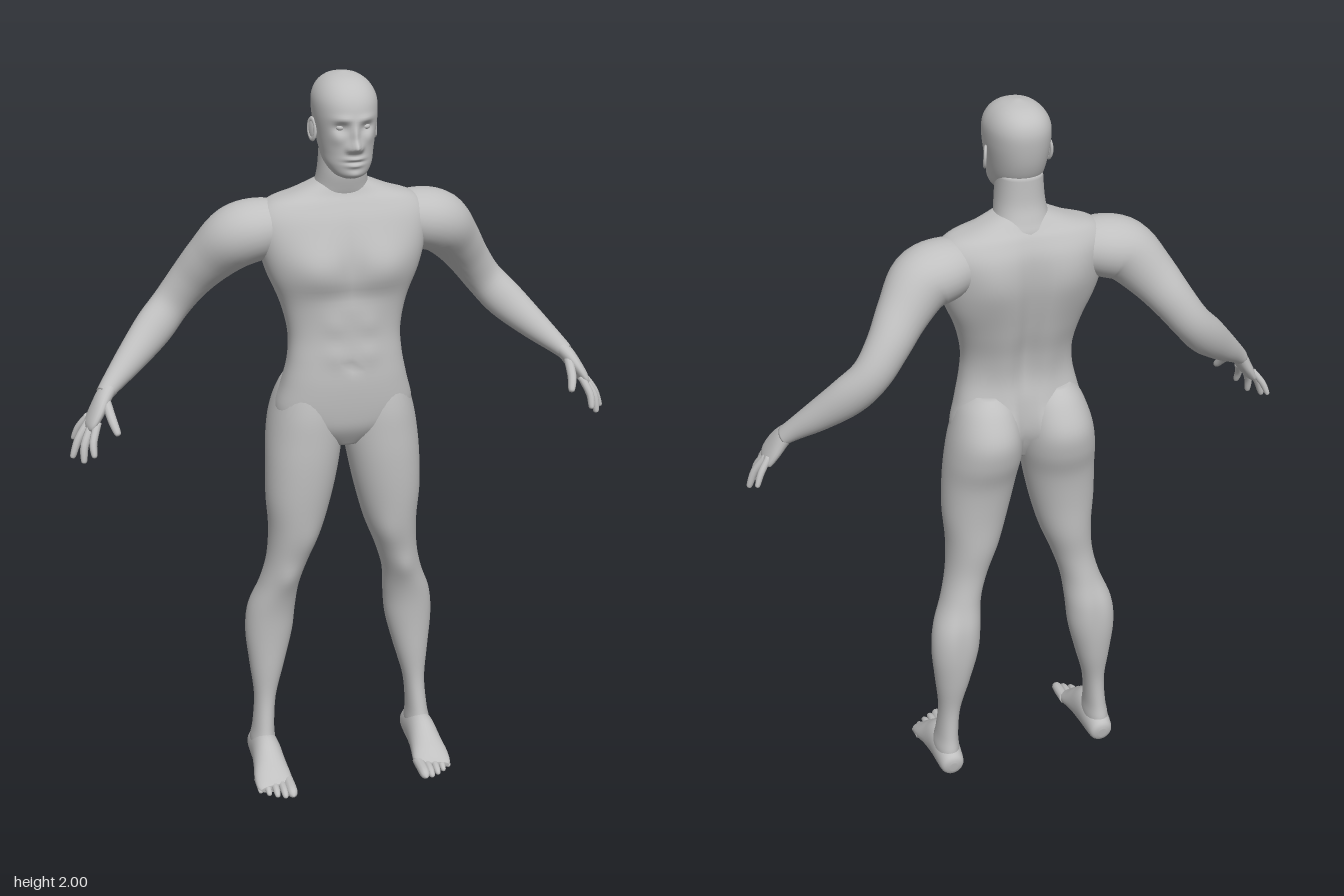
import * as THREE from 'three';

const skin = new THREE.MeshStandardMaterial({ color: 0xc0c0c0 });
skin.name = 'grey skin';

// Smooth Catmull-Rom interpolation between rows of numbers
function resample(rows, steps) {
  const out = [], last = rows.length - 1;
  for (let i = 0; i <= last * steps; i++) {
    const k = Math.min(Math.floor(i / steps), last - 1), t = i / steps - k;
    const [a, b, c, d] = [-1, 0, 1, 2].map(o => rows[Math.min(Math.max(k + o, 0), last)]);
    out.push(b.map((v, j) => v + 0.5 * t * (c[j] - a[j] +
      t * (2 * a[j] - 5 * v + 4 * c[j] - d[j] + t * (3 * (v - c[j]) + d[j] - a[j])))));
  }
  return out;
}

// Closed skin over rings of points, always wound outwards
function skinOver(rings) {
  const n = rings[0].length, m = rings.length, pts = rings.flat(), index = [];
  const mid = r => r.reduce((s, p) => s.add(p), new THREE.Vector3()).divideScalar(n);
  pts.push(mid(rings[0]), mid(rings[m - 1]));
  for (let j = 0; j < n; j++) {
    const k = (j + 1) % n;
    for (let i = 0; i < m - 1; i++) {
      const a = i * n + j, b = i * n + k;
      index.push(a, a + n, b, b, a + n, b + n);
    }
    index.push(m * n, j, k, m * n + 1, (m - 1) * n + k, (m - 1) * n + j);
  }
  let volume = 0;
  const cross = new THREE.Vector3();
  for (let i = 0; i < index.length; i += 3)
    volume += pts[index[i]].dot(cross.crossVectors(pts[index[i + 1]], pts[index[i + 2]]));
  if (volume < 0) index.reverse();
  const g = new THREE.BufferGeometry().setFromPoints(pts);
  g.setIndex(index);
  g.computeVertexNormals();
  return g;
}

const power = (v, n) => Math.sign(v) * Math.pow(Math.abs(v), 2 / n);

// Upright form; rows are [y, xMin, xMax, zFront, zBack]
// bumps are [|x|, y, width, height, amount, side], side 1 = front, -1 = back
function upright(rows, { n = 2.2, bumps = [], seg = 48, steps = 5, side = 1 } = {}) {
  return skinOver(resample(rows, steps).map(([y, x0, x1, zf, zb]) =>
    Array.from({ length: seg }, (_, j) => {
      const a = j / seg * Math.PI * 2, s = Math.sin(a);
      const x = (x0 + x1) / 2 + (x1 - x0) / 2 * power(Math.cos(a), n);
      let z = (zf + zb) / 2 + (zf - zb) / 2 * power(s, n);
      for (const [bx, by, w, h, amount, dir] of bumps)
        if (s * dir > 0) z += dir * amount * Math.abs(s) *
          Math.exp(-(((Math.abs(x) - bx) / w) ** 2) - ((y - by) / h) ** 2);
      return new THREE.Vector3(x * side, y, z);
    })));
}

// Limb along a path; rows are [x, y, z, radius toward ref, radius across]
function limb(rows, { ref = new THREE.Vector3(0, 0, 1), seg = 20, steps = 5, side = 1, floor = -1 } = {}) {
  const rs = resample(rows, steps), at = i => new THREE.Vector3(...rs[i].slice(0, 3));
  return skinOver(rs.map((r, i) => {
    const t = at(Math.min(i + 1, rs.length - 1)).sub(at(Math.max(i - 1, 0))).normalize();
    const a = ref.clone().addScaledVector(t, -ref.dot(t)).normalize();
    const b = t.clone().cross(a);
    return Array.from({ length: seg }, (_, j) => {
      const q = j / seg * Math.PI * 2;
      const p = at(i).addScaledVector(a, r[3] * Math.cos(q)).addScaledVector(b, r[4] * Math.sin(q));
      p.y = Math.max(p.y, floor);
      p.x *= side;
      return p;
    });
  }));
}

// Finger or toe with a rounded tip, bending through a middle joint
function digit(from, joint, to, r, options) {
  const end = new THREE.Vector3(...to);
  const back = new THREE.Vector3(...joint).sub(end).normalize().multiplyScalar(r * 0.6).add(end);
  return limb([[...from, r, r], [...joint, r, r], [...back.toArray(), r * 0.75, r * 0.75],
    [...to, r * 0.15, r * 0.15]], { seg: 10, steps: 4, ...options });
}

export function createModel() {
  const model = new THREE.Group();
  const add = (name, geometry, parent = model) => {
    const mesh = new THREE.Mesh(geometry, skin);
    mesh.name = name;
    parent.add(mesh);
    return mesh;
  };
  const even = ([y, w, f, b]) => [y, -w, w, f, b];

  // Torso with chest, belly, shoulder blades and spine groove
  add('torso', upright([
    [1.72, .06, .02, -.085], [1.69, .13, .03, -.105], [1.665, .2, .045, -.122], [1.62, .232, .068, -.138],
    [1.55, .222, .09, -.14], [1.48, .203, .093, -.13], [1.4, .17, .086, -.11], [1.32, .152, .084, -.085],
    [1.25, .155, .089, -.077], [1.18, .17, .092, -.092], [1.1, .188, .087, -.115], [1.05, .15, .076, -.1],
    [1.0, .05, .045, -.06],
  ].map(even), { n: 2.4, seg: 72, bumps: [
    [.1, 1.5, .075, .06, .018, 1], [0, 1.52, .018, .08, -.008, 1], [0, 1.43, .1, .025, -.006, 1],
    [.045, 1.35, .03, .03, .005, 1], [.045, 1.27, .03, .03, .005, 1], [0, 1.235, .012, .012, -.008, 1],
    [.11, 1.56, .07, .09, .014, -1], [0, 1.42, .025, .24, -.018, -1], [.06, 1.28, .035, .12, .008, -1],
    [0, 1.08, .018, .08, -.04, -1],
  ] }));

  add('neck', upright([[1.6, .1, 0, -.11], [1.67, .088, .022, -.11], [1.705, .071, .034, -.1],
    [1.75, .063, .044, -.088], [1.82, .058, .045, -.085]].map(even)));

  // Head with brow, sockets, nose and mouth
  add('head', upright([
    [1.744, .022, .085, .03], [1.755, .043, .104, 0], [1.78, .06, .11, -.045], [1.81, .067, .111, -.078],
    [1.85, .074, .112, -.097], [1.9, .081, .113, -.108], [1.94, .08, .104, -.109], [1.97, .066, .081, -.095],
    [1.99, .041, .045, -.064], [2.0, .006, -.004, -.016],
  ].map(even), { n: 2.2, seg: 96, steps: 8, bumps: [
    [0, 1.832, .013, .014, .03, 1], [0, 1.86, .009, .025, .014, 1], [.015, 1.826, .008, .009, .01, 1],
    [.034, 1.878, .018, .013, -.014, 1], [.03, 1.9, .025, .009, .006, 1], [.045, 1.85, .016, .015, .005, 1],
    [0, 1.8, .024, .006, .009, 1], [0, 1.783, .02, .006, .008, 1], [0, 1.792, .026, .003, -.004, 1],
    [0, 1.759, .02, .012, .007, 1],
  ] }));

  for (const [side, label] of [[1, 'left'], [-1, 'right']]) {
    // Eye and ear
    const eye = add(label + 'Eye', new THREE.SphereGeometry(.012, 16, 12));
    eye.position.set(.033 * side, 1.878, .087);
    eye.scale.y = .7;
    const ear = new THREE.Group();
    ear.name = label + 'Ear';
    ear.position.set(.083 * side, 1.857, -.003);
    ear.rotation.set(-.15, side * (Math.PI / 2 - .35), 0);
    ear.scale.set(.62, 1, .6);
    add('earRim', new THREE.TorusGeometry(.025, .007, 8, 24), ear);
    add('earBowl', new THREE.SphereGeometry(.024, 16, 10).scale(1, 1, .3), ear);
    model.add(ear);

    // Arm from the shoulder to the wrist
    add(label + 'Arm', limb([
      [.15, 1.595, -.045, .07, .065], [.21, 1.592, -.05, .088, .08], [.275, 1.572, -.06, .087, .082],
      [.335, 1.51, -.095, .066, .068], [.385, 1.445, -.128, .055, .057], [.435, 1.378, -.142, .048, .052],
      [.49, 1.318, -.122, .046, .053], [.56, 1.253, -.08, .039, .041], [.615, 1.205, -.044, .03, .028],
      [.64, 1.182, -.027, .028, .022],
    ], { side, seg: 28 }));

    // Hand
    const hand = new THREE.Group();
    hand.name = label + 'Hand';
    model.add(hand);
    add('palm', limb([[.615, 1.207, -.042, .022, .02], [.64, 1.18, -.024, .032, .021],
      [.663, 1.145, -.008, .044, .019], [.683, 1.113, .001, .044, .015], [.69, 1.102, .003, .03, .008]],
    { side }), hand);
    [
      [[.668, 1.125, .028], [.685, 1.083, .056], [.686, 1.045, .073], .0105],
      [[.68, 1.118, .011], [.705, 1.07, .035], [.711, 1.022, .046], .011],
      [[.686, 1.118, -.01], [.717, 1.075, .003], [.736, 1.025, .008], .0105],
      [[.685, 1.126, -.029], [.71, 1.092, -.041], [.726, 1.055, -.05], .009],
    ].forEach(([a, b, c, r], i) => add('finger' + (i + 1), digit(a, b, c, r, { side }), hand));
    add('thumb', digit([.64, 1.172, -.005], [.633, 1.138, .048], [.622, 1.103, .079], .0125, { side }), hand);

    // Leg from the buttock to the ankle
    add(label + 'Leg', upright([
      [1.21, .05, .14, .05, -.08], [1.17, .02, .17, .07, -.115], [1.1, .006, .194, .083, -.148],
      [1.03, .003, .207, .086, -.143], [.95, .014, .213, .086, -.118], [.85, .035, .215, .08, -.105],
      [.75, .063, .208, .068, -.1], [.66, .098, .213, .047, -.092], [.58, .122, .232, .028, -.1],
      [.5, .13, .262, .01, -.119], [.42, .138, .27, .002, -.121], [.32, .163, .261, -.002, -.108],
      [.22, .19, .251, -.005, -.09], [.13, .198, .257, .008, -.092], [.08, .196, .265, .02, -.1],
      [.04, .2, .26, .01, -.095],
    ], { side, n: 2.1, seg: 40, bumps: [
      [.165, .61, .03, .04, .008, 1], [.1, .72, .03, .05, .006, 1], [.2, .46, .02, .1, -.005, -1],
    ] }));

    // Foot and toes
    const foot = new THREE.Group(), across = new THREE.Vector3(1, 0, 0);
    foot.name = label + 'Foot';
    model.add(foot);
    add('sole', limb([
      [.23, .04, -.11, .012, .016], [.23, .042, -.1, .032, .036], [.23, .05, -.06, .038, .05],
      [.23, .056, 0, .041, .062], [.231, .044, .05, .046, .047], [.232, .03, .09, .052, .031],
      [.231, .02, .12, .052, .02], [.23, .017, .135, .045, .012],
    ], { side, ref: across, seg: 28, floor: .003 }), foot);
    for (let i = 0; i < 5; i++) {
      const x = .193 + i * .0205, r = i ? .0115 - i * .0006 : .0155, tip = .188 - i * i * .0022 - i * .004;
      add('toe' + (i + 1), digit([x, .023, .1 - i * .004], [x, .021, tip - .03], [x, r, tip], r,
        { side, ref: across, floor: 0 }), foot);
    }
  }
  return model;
}
